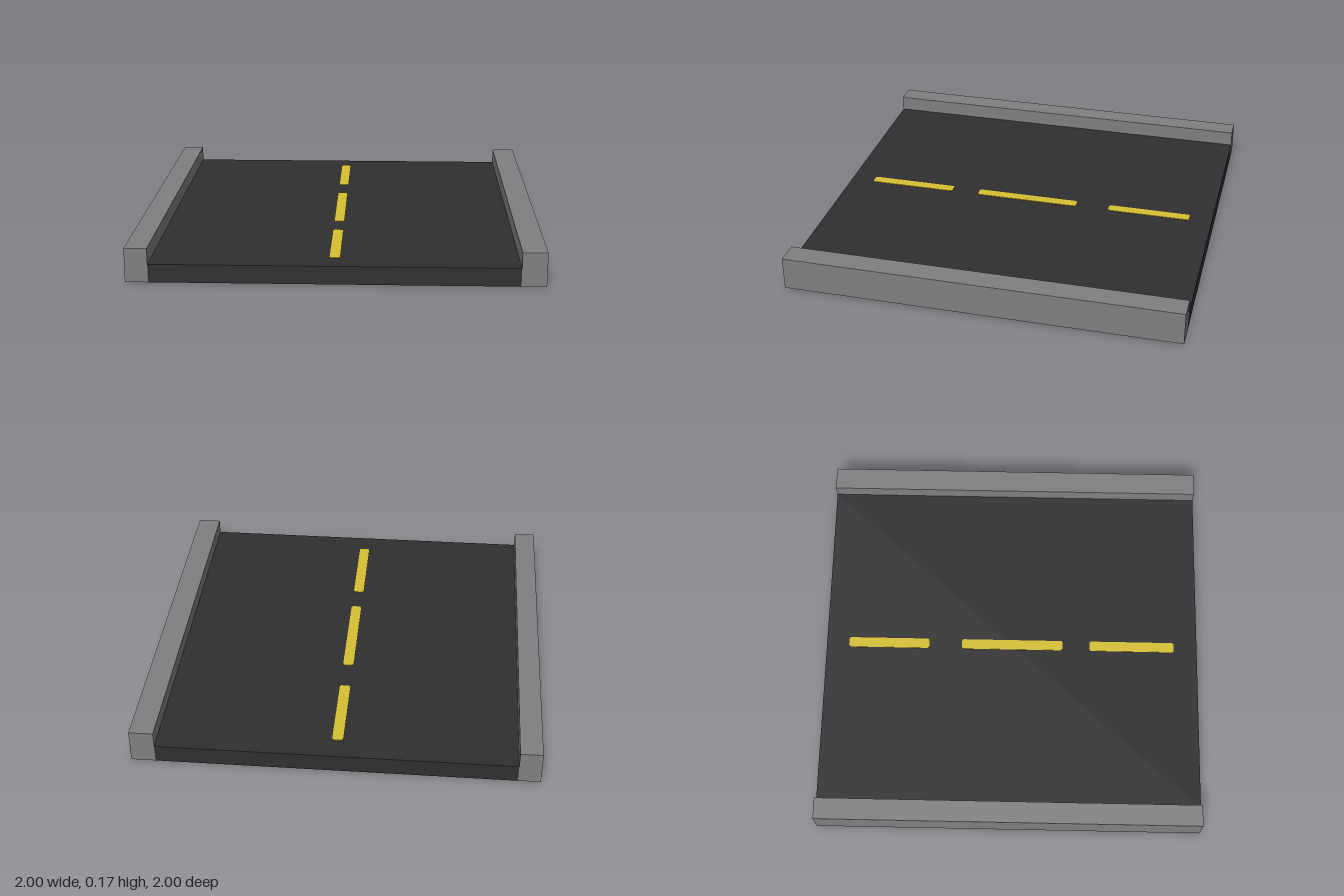
import * as THREE from 'three';

export function createModel() {
  const model = new THREE.Group();
  model.name = 'roadSection';

  const material = (name, color) => {
    const m = new THREE.MeshStandardMaterial({ color });
    m.name = name;
    return m;
  };
  const concrete = material('concreteGrey', 0x808080);
  const asphalt = material('asphaltBlack', 0x303030);
  const paint = material('linePaintYellow', 0xd6c033);

  // Box given by its limits on each axis
  const addBox = (name, [x0, x1], [y0, y1], [z0, z1], mat) => {
    const mesh = new THREE.Mesh(new THREE.BoxGeometry(x1 - x0, y1 - y0, z1 - z0), mat);
    mesh.position.set((x0 + x1) / 2, (y0 + y1) / 2, (z0 + z1) / 2);
    mesh.name = name;
    model.add(mesh);
  };

  // Road slab: asphalt, with a concrete underside
  const roadTop = 0.09;
  addBox('roadSlab', [-0.89, 0.88], [0, roadTop], [-1, 1],
    [asphalt, asphalt, asphalt, concrete, asphalt, asphalt]);

  // Kerbs along both sides
  addBox('rightKerb', [-1, -0.89], [0, 0.168], [-1, 1], concrete);
  addBox('leftKerb', [0.88, 1], [0, 0.168], [-1, 1], concrete);

  // Dashed centre line: thin plates with slightly clipped corners
  const x0 = -0.033, x1 = 0.021, c = 0.008;
  [[-0.88, -0.445], [-0.27, 0.275], [0.42, 0.875]].forEach(([z0, z1], i) => {
    const outline = new THREE.Shape([
      [x0 + c, -z1], [x1 - c, -z1], [x1, -z1 + c], [x1, -z0 - c],
      [x1 - c, -z0], [x0 + c, -z0], [x0, -z0 - c], [x0, -z1 + c],
    ].map(([x, y]) => new THREE.Vector2(x, y)));
    const plate = new THREE.ExtrudeGeometry(outline, { depth: 0.003, bevelEnabled: false });
    plate.rotateX(-Math.PI / 2);
    const dash = new THREE.Mesh(plate, paint);
    dash.position.y = roadTop;
    dash.name = `centreDash${i + 1}`;
    model.add(dash);
  });

  return model;
}
